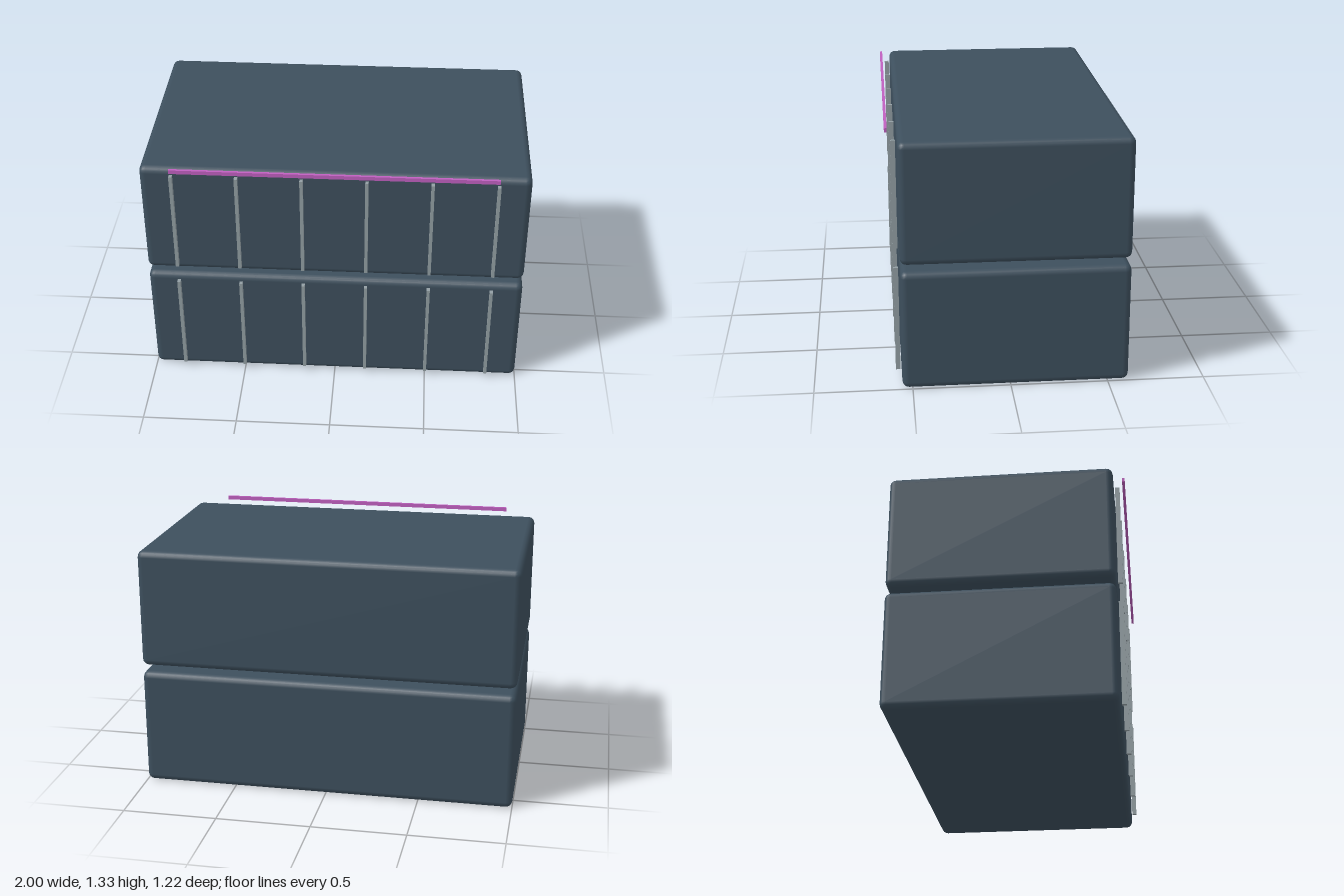
import * as THREE from 'three';
import { RoundedBoxGeometry } from 'three/addons/geometries/RoundedBoxGeometry.js';

const slate = new THREE.MeshStandardMaterial({ name: 'slate blue', color: 0x3d4f5d });
const grey = new THREE.MeshStandardMaterial({ name: 'pale grey', color: 0x939fa4 });
const magenta = new THREE.MeshStandardMaterial({ name: 'magenta', color: 0xc060c0 });

function addPart(parent, name, geometry, material, x, y, z) {
  const mesh = new THREE.Mesh(geometry, material);
  mesh.name = name;
  mesh.position.set(x, y, z);
  parent.add(mesh);
}

export function createModel() {
  const model = new THREE.Group();
  model.name = 'stackedUnits';

  const height = 0.633;
  const blockGeometry = new RoundedBoxGeometry(2, height, 1.162, 2, 0.034);
  const ribGeometry = new THREE.BoxGeometry(0.017, 0.565, 0.024);

  // Two identical rounded blocks with a narrow gap between them
  ['lower', 'upper'].forEach((level, i) => {
    const unit = new THREE.Group();
    unit.name = level + 'Unit';
    unit.position.y = height / 2 + i * 0.669;
    addPart(unit, 'block', blockGeometry, slate, 0, 0, -0.029);

    // Six evenly spaced vertical ribs just ahead of the front face
    for (let n = 0; n < 6; n++) {
      addPart(unit, 'frontRib', ribGeometry, grey, (n - 2.5) / 3, 0.002, 0.57);
    }
    model.add(unit);
  });

  // Thin light strip above the front edge
  addPart(model, 'lightStrip', new THREE.BoxGeometry(1.666, 0.021, 0.014), magenta, 0, 1.321, 0.603);

  return model;
}
